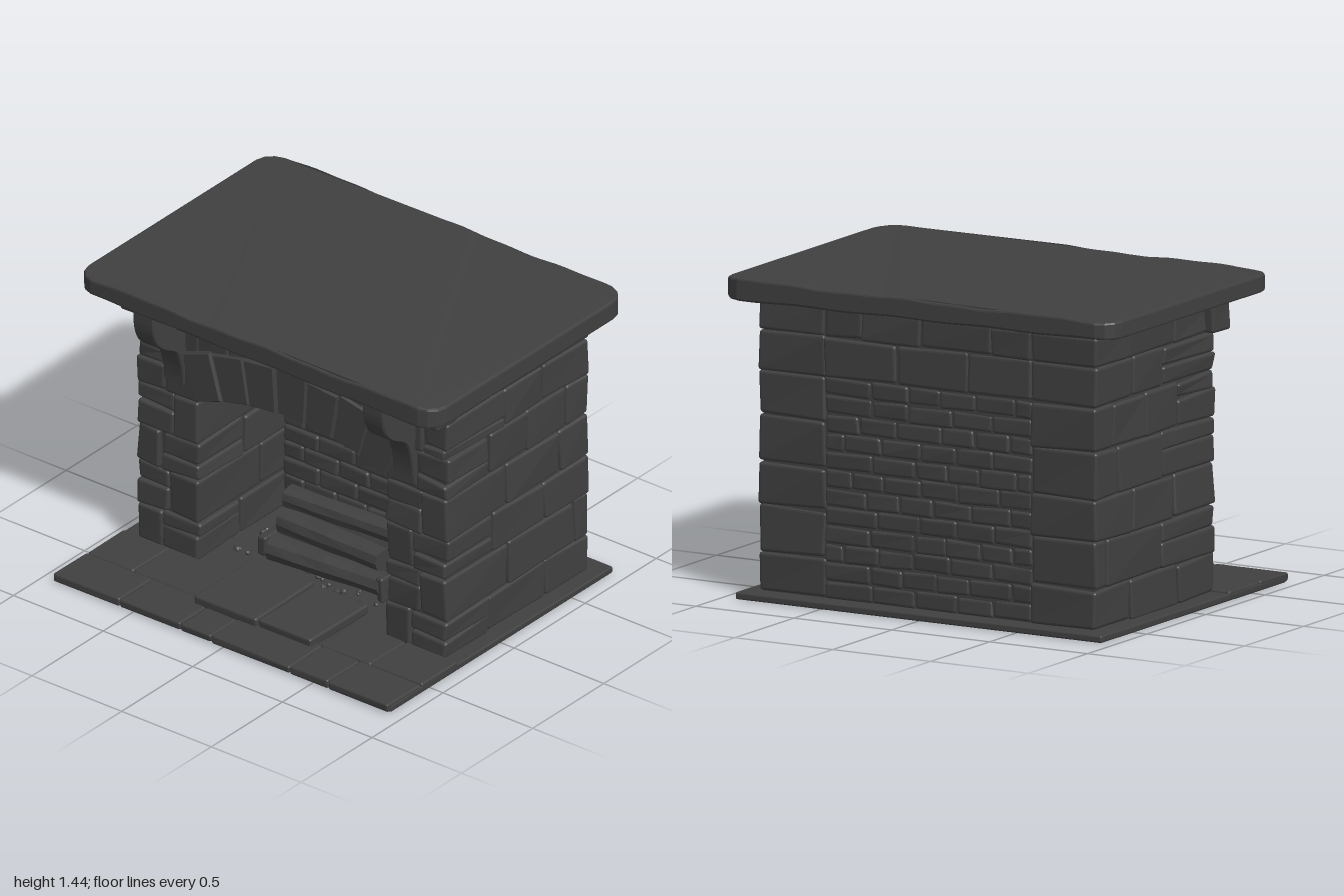
import * as THREE from 'three';
import { RoundedBoxGeometry } from 'three/addons/geometries/RoundedBoxGeometry.js';

export function createModel() {
  const group = new THREE.Group();
  const stoneMat = new THREE.MeshStandardMaterial({ color: 0x404040, flatShading: true });
  stoneMat.name = 'charcoal stone';

  let seed = 7;
  const rnd = () => ((seed = (seed * 16807) % 2147483647) / 2147483647);
  const jit = a => (rnd() * 2 - 1) * a;

  const add = (parent, name, geo) => {
    const m = new THREE.Mesh(geo, stoneMat);
    m.name = name;
    parent.add(m);
    return m;
  };
  const part = name => {
    const g = new THREE.Group();
    g.name = name;
    group.add(g);
    return g;
  };

  // Hand-cut block between two corners: bevelled edges, each corner nudged a little
  function block(parent, name, x0, x1, y0, y1, z0, z1, wob = 0.007, gap = 0.004) {
    const w = x1 - x0 - gap, h = y1 - y0 - gap, d = z1 - z0 - gap;
    const geo = new RoundedBoxGeometry(w, h, d, 2, Math.min(0.014, w / 4, h / 4, d / 4));
    const nudge = Array.from({ length: 8 }, () => [jit(wob), jit(wob), jit(wob)]);
    const p = geo.attributes.position;
    for (let i = 0; i < p.count; i++) {
      const t = [p.getX(i) / w + 0.5, p.getY(i) / h + 0.5, p.getZ(i) / d + 0.5];
      const o = [0, 0, 0];
      for (let c = 0; c < 8; c++) {
        const k = (c & 1 ? t[0] : 1 - t[0]) * (c & 2 ? t[1] : 1 - t[1]) * (c & 4 ? t[2] : 1 - t[2]);
        for (let a = 0; a < 3; a++) o[a] += k * nudge[c][a];
      }
      p.setXYZ(i, p.getX(i) + o[0], p.getY(i) + o[1], p.getZ(i) + o[2]);
    }
    geo.translate((x0 + x1) / 2, (y0 + y1) / 2, (z0 + z1) / 2);
    geo.computeVertexNormals();
    return add(parent, name, geo);
  }

  // A row of blocks with joints at the given x positions
  const rowX = (parent, name, xs, y0, y1, z0, z1, wob) => {
    for (let i = 0; i < xs.length - 1; i++) block(parent, name, xs[i], xs[i + 1], y0, y1, z0, z1, wob);
  };

  // Running-bond brick panel
  function bricks(parent, name, x0, x1, y0, rows, h, z0, z1) {
    for (let r = 0; r < rows; r++) {
      const xs = [x0];
      let x = x0 + (r % 2 ? 0.1 : 0.19) + jit(0.02);
      while (x < x1 - 0.07) { xs.push(x); x += 0.19 + jit(0.035); }
      xs.push(x1);
      rowX(parent, name, xs, y0 + r * h, y0 + (r + 1) * h, z0, z1, 0.005);
    }
  }

  // Hearth: ground slab, front flagstones, raised step
  const hearth = part('hearth');
  block(hearth, 'groundSlab', -0.94, 0.93, 0, 0.032, -0.785, 0.78, 0.001, 0);
  rowX(hearth, 'flagstone', [-0.94, -0.57, -0.23, -0.06, 0.38, 0.59, 0.93], 0.002, 0.046, 0.56, 0.8, 0.003);
  rowX(hearth, 'flagstone', [-0.94, -0.68, -0.3, 0.35, 0.64, 0.93], 0.002, 0.044, 0.3, 0.56, 0.003);
  block(hearth, 'raisedStep', -0.3, 0.05, 0.03, 0.085, 0.2, 0.62, 0.003);
  block(hearth, 'raisedStep', 0.05, 0.35, 0.03, 0.082, 0.2, 0.61, 0.003);

  // Mortar core with the arched opening
  const R_IN = 1.4, R_OUT = 1.65, CY = -0.47, HALF = 0.385;
  const core = new THREE.Shape();
  core.moveTo(-0.845, 0.02);
  core.lineTo(-0.54, 0.02);
  core.lineTo(-0.54, 0.84);
  core.absarc(0, CY, R_IN + 0.015, Math.PI / 2 + HALF, Math.PI / 2 - HALF, true);
  core.lineTo(0.54, 0.84);
  core.lineTo(0.54, 0.02);
  core.lineTo(0.845, 0.02);
  core.lineTo(0.845, 1.36);
  core.lineTo(-0.845, 1.36);
  const coreGeo = new THREE.ExtrudeGeometry(core, { depth: 0.6, bevelEnabled: false, curveSegments: 16 });
  coreGeo.translate(0, 0, -0.315);
  add(group, 'mortarCore', coreGeo);
  add(group, 'backCore', new THREE.BoxGeometry(1.69, 1.34, 0.37).translate(0, 0.69, -0.5));

  // Side walls: seven courses, the front stone of each split into smaller pieces
  const courses = [0.03, 0.21, 0.42, 0.61, 0.82, 1.02, 1.2, 1.335];
  const joints = [[0, -0.4], [-0.14, -0.6], [-0.03, -0.39], [-0.13, -0.5],
    [0, -0.27, -0.55], [-0.12, -0.38], [-0.03, -0.42]];
  const splits = [0.66, 0.71, 0.67, 0.72, 0.69, 0.73];
  for (const s of [-1, 1]) {
    const wall = part(s > 0 ? 'leftWall' : 'rightWall');
    const span = (a, b) => (s > 0 ? [a, b] : [-b, -a]);
    joints.forEach((js, r) => {
      const y0 = courses[r], y1 = courses[r + 1];
      const zs = [r === 6 ? 0.29 : 0.305, ...js, -0.7];
      for (let i = 0; i < zs.length - 1; i++) {
        if (i === 0 && r < 6) {
          const c = splits[(r + (s > 0 ? 0 : 3)) % 6], ym = y0 + (y1 - y0) * (0.45 + jit(0.2));
          const inner = span(0.525, c), outer = span(c, 0.862);
          const cut = (r + (s > 0 ? 1 : 0)) % 2 === 0 && r < 4;
          block(wall, 'wallStone', ...inner, y0, cut ? ym : y1, zs[1], 0.305, 0.009);
          if (cut) block(wall, 'wallStone', ...inner, ym, y1, zs[1], 0.3, 0.009);
          block(wall, 'wallStone', ...outer, y0, cut ? y1 : ym, zs[1], 0.31, 0.009);
          if (!cut) block(wall, 'wallStone', ...outer, ym, y1, zs[1], 0.302, 0.009);
        } else {
          block(wall, 'wallStone', ...span(0.525, 0.862), y0, y1, zs[i + 1], zs[i]);
        }
      }
    });
  }

  // Firebox back and outer back of the chimney breast
  bricks(part('fireboxBack'), 'fireBrick', -0.53, 0.53, 0.03, 11, 0.084, -0.4, -0.3);
  const back = part('backWall');
  bricks(back, 'backBrick', -0.53, 0.53, 0.03, 12, 0.0825, -0.695, -0.6);
  rowX(back, 'backStone', [-0.53, -0.2, 0.16, 0.53], 1.02, 1.2, -0.698, -0.6);
  rowX(back, 'backStone', [-0.53, -0.32, 0.04, 0.34, 0.53], 1.2, 1.335, -0.7, -0.6);

  // Arch of seven wedge stones, with filler stones above
  const arch = part('arch');
  const COUNT = 7;
  for (let i = 0; i < COUNT; i++) {
    const a0 = HALF - (2 * HALF * i) / COUNT - 0.004, a1 = HALF - (2 * HALF * (i + 1)) / COUNT + 0.004;
    const out = R_OUT - 0.01 + jit(0.008), inn = R_IN + 0.012;
    const at = (r, a) => new THREE.Vector2(Math.sin(a) * r, CY + Math.cos(a) * r);
    const wedge = new THREE.Shape([at(inn, a0), at(inn, a1), at(out, a1), at(out, a0)]);
    const geo = new THREE.ExtrudeGeometry(wedge, {
      depth: 0.58, bevelThickness: 0.01, bevelSize: 0.008, bevelOffset: -0.004, bevelSegments: 1 });
    geo.translate(0, 0, -0.275 + jit(0.005));
    add(arch, 'archStone', geo);
  }
  rowX(arch, 'fillerStone', [-0.56, -0.36, -0.2], 1.08, 1.2, 0.1, 0.302, 0.006);
  rowX(arch, 'fillerStone', [0.2, 0.4, 0.56], 1.08, 1.2, 0.1, 0.302, 0.006);
  block(arch, 'fillerStone', -0.2, 0.2, 1.13, 1.2, 0.1, 0.3, 0.004);

  // Lintel beam under the shelf
  const lintel = part('lintel');
  block(lintel, 'lintelEnd', -0.9, -0.62, 1.2, 1.335, 0.22, 0.375);
  block(lintel, 'lintelEnd', 0.62, 0.87, 1.2, 1.335, 0.22, 0.37);
  block(lintel, 'lintelBeam', -0.62, 0.62, 1.2, 1.34, 0.2, 0.37, 0.008);
  for (let i = 0; i < 6; i++) {
    const x = -0.5 + i * 0.16, y = 1.225 + rnd() * 0.08;
    block(lintel, 'beamSplinter', x, x + 0.14 + rnd() * 0.1, y, y + 0.014, 0.35, 0.376, 0.005);
  }

  // Scrolled corbels
  const profile = new THREE.Shape();
  profile.moveTo(0.26, 0.89);
  profile.lineTo(0.312, 0.89);
  profile.quadraticCurveTo(0.318, 0.98, 0.345, 1.045);
  profile.bezierCurveTo(0.37, 1.11, 0.43, 1.1, 0.49, 1.165);
  profile.bezierCurveTo(0.52, 1.2, 0.535, 1.25, 0.53, 1.345);
  profile.lineTo(0.26, 1.345);
  for (const x of [-0.65, 0.63]) {
    const geo = new THREE.ExtrudeGeometry(profile, {
      depth: 0.1, bevelThickness: 0.008, bevelSize: 0.006, bevelOffset: -0.006, bevelSegments: 1, curveSegments: 8 });
    geo.rotateY(-Math.PI / 2).translate(x + 0.05, 0, 0);
    add(group, 'corbel', geo);
  }

  // Mantel shelf: rounded plank with an uneven top and underside
  const plan = new THREE.Shape();
  const X = 0.99, F = -0.56, B = 0.79, r = 0.09;
  plan.absarc(X - r, B - r, r, 0, Math.PI / 2);
  plan.absarc(-X + r, B - r, r, Math.PI / 2, Math.PI);
  plan.absarc(-X + r, F + r, r, Math.PI, Math.PI * 1.5);
  plan.absarc(X - r, F + r, r, Math.PI * 1.5, Math.PI * 2);
  plan.closePath();
  const outline = new THREE.Shape(plan.getSpacedPoints(150).slice(0, -1));
  const shelf = new THREE.ExtrudeGeometry(outline, { depth: 0.07, bevelThickness: 0.01, bevelSize: 0.01, bevelSegments: 2 });
  shelf.rotateX(-Math.PI / 2).translate(0, 1.355, 0);
  const sp = shelf.attributes.position;
  for (let i = 0; i < sp.count; i++) {
    const x = sp.getX(i), y = sp.getY(i);
    const dy = y > 1.39 ? 0.004 * Math.sin(x * 9 + 1) + 0.002 * Math.sin(x * 23)
      : -0.008 * x + 0.003 * Math.sin(x * 13);
    sp.setY(i, y + dy);
  }
  shelf.computeVertexNormals();
  add(group, 'mantelShelf', shelf);

  // Firewood: rough split logs stacked in the firebox
  const fire = part('firewood');
  function log(x, y, z, len, rad, yaw, tilt) {
    const geo = new THREE.CylinderGeometry(rad, rad * 0.92, len, 9, 4);
    const p = geo.attributes.position;
    for (let i = 0; i < p.count; i++) {
      const a = Math.round(Math.atan2(p.getX(i), p.getZ(i)) * 9 / (2 * Math.PI) + 9) % 9;
      const k = 1 + 0.09 * Math.sin(a * 2.7 + x * 30) + 0.05 * Math.sin(p.getY(i) * 17 + a);
      p.setXYZ(i, p.getX(i) * k, p.getY(i), p.getZ(i) * k);
    }
    geo.rotateZ(Math.PI / 2 + tilt).rotateY(yaw).translate(x, y, z);
    geo.computeVertexNormals();
    add(fire, 'log', geo);
  }
  log(0.02, 0.095, 0.07, 0.6, 0.06, 0.05, 0.02);
  log(-0.02, 0.095, -0.06, 0.62, 0.062, -0.04, 0);
  log(0.03, 0.095, -0.19, 0.6, 0.06, 0.03, 0);
  log(0.0, 0.19, 0.01, 0.58, 0.056, -0.05, 0.03);
  log(0.02, 0.195, -0.12, 0.6, 0.056, 0.04, -0.02);
  log(0.0, 0.283, -0.06, 0.6, 0.05, 0.03, 0.02);
  block(fire, 'firedog', 0.3, 0.35, 0.03, 0.15, -0.2, 0.1);
  block(fire, 'firedog', -0.36, -0.31, 0.03, 0.13, -0.2, 0.1);

  // Scattered embers
  for (let i = 0; i < 70; i++) {
    const geo = new THREE.IcosahedronGeometry(0.008 + rnd() * 0.012, 0);
    const e = add(fire, 'ember', geo);
    e.position.set(jit(0.46), 0.037, -0.24 + rnd() * 0.42);
    e.rotation.set(rnd() * 3, rnd() * 3, 0);
  }
  return group;
}
